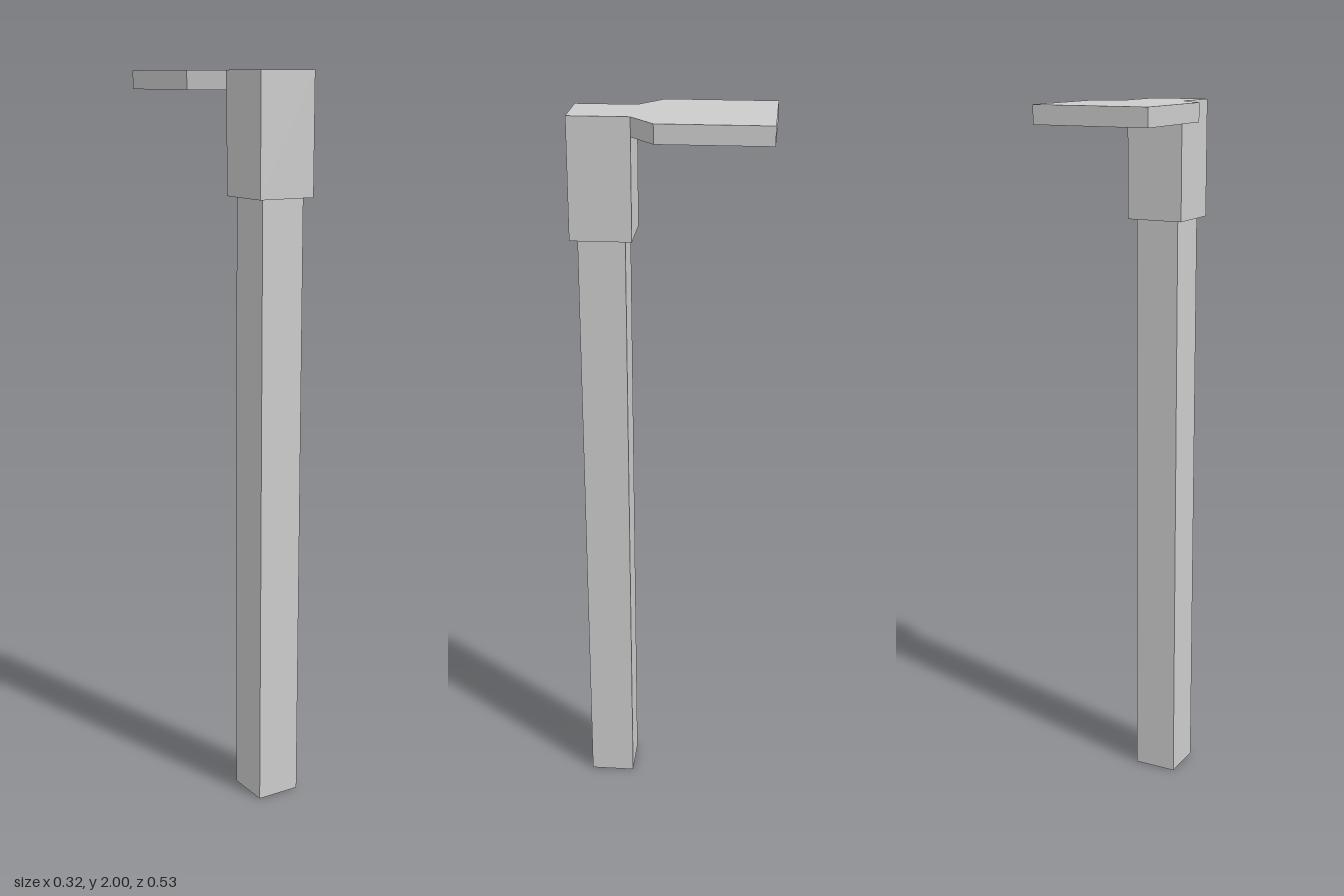
import * as THREE from 'three';

export function createModel() {
  const group = new THREE.Group();
  const material = new THREE.MeshStandardMaterial({ color: 0xcccccc, flatShading: true });
  const axisZ = 0.181; // depth of the post's centre line

  // Square upright, spanning bottom to top in y
  function upright(name, width, bottom, top) {
    const mesh = new THREE.Mesh(new THREE.BoxGeometry(width, top - bottom, width), material);
    mesh.position.set(0, (bottom + top) / 2, axisZ);
    mesh.name = name;
    group.add(mesh);
  }
  upright('post', 0.125, 0, 1.68);
  upright('sleeve', 0.163, 1.68, 2);

  // Flat plate reaching backwards, tapering in to the sleeve (shape y is -z)
  const half = [[0.081, -0.1], [0.162, -0.034], [0.162, 0.264]];
  const mirrored = half.map(([x, y]) => [-x, y]).reverse();
  const outline = new THREE.Shape([...half, ...mirrored].map(([x, y]) => new THREE.Vector2(x, y)));
  const plateGeometry = new THREE.ExtrudeGeometry(outline, { depth: 0.05, bevelEnabled: false });
  plateGeometry.rotateX(-Math.PI / 2);
  const plate = new THREE.Mesh(plateGeometry, material);
  plate.position.y = 1.95;
  plate.name = 'topPlate';
  group.add(plate);

  return group;
}
